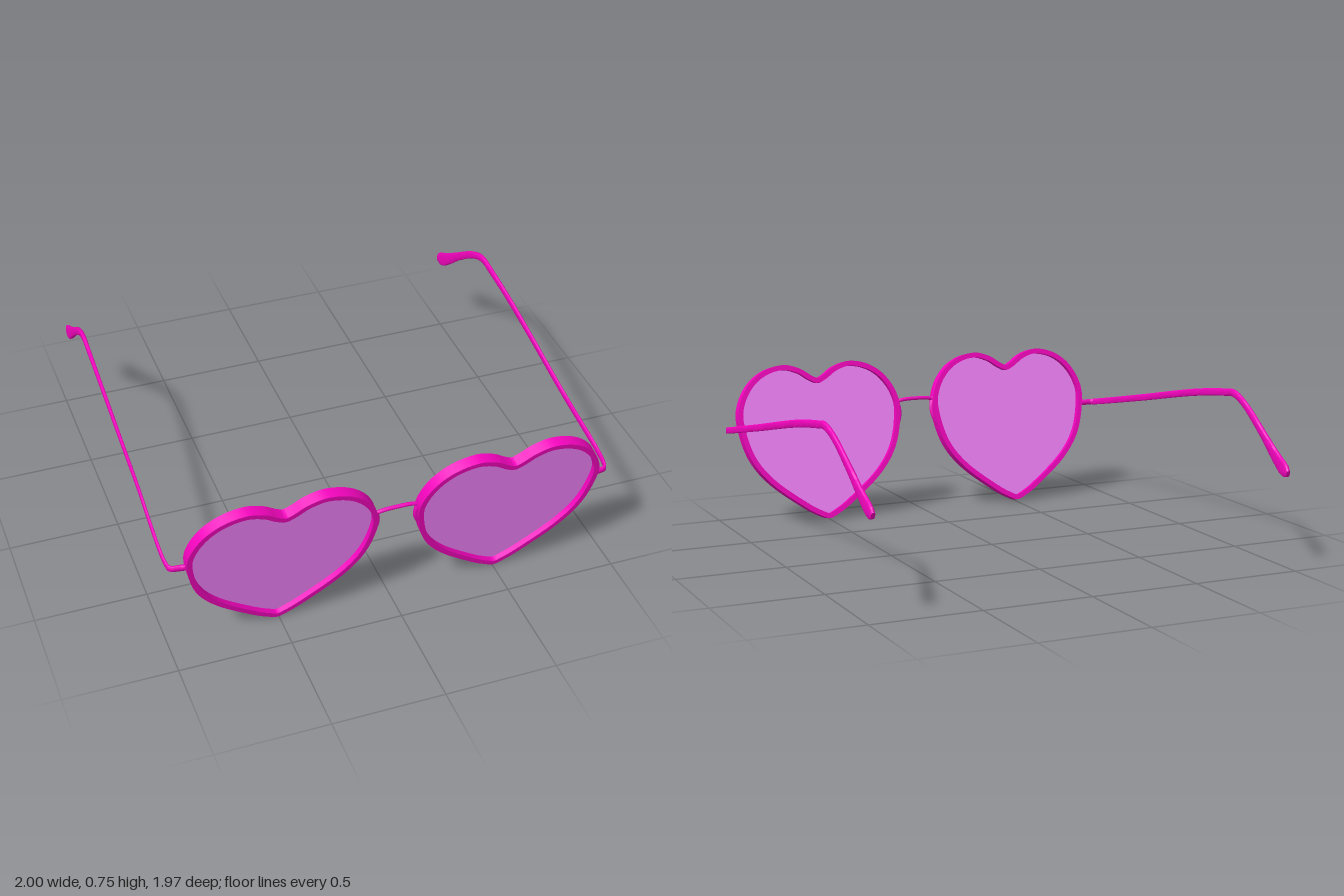
import * as THREE from 'three';
import { toCreasedNormals } from 'three/addons/utils/BufferGeometryUtils.js';

const TILT = 0.215, LENS_X = 0.507, BASE_Z = 0.8, DEPTH = 0.05;
const frameMat = new THREE.MeshStandardMaterial({ color: 0xf404be });
const lensMat = new THREE.MeshStandardMaterial({ color: 0xf383fc, side: THREE.DoubleSide });

// Right half of the heart, from bottom tip to top notch
const HALF = [[0, 0.007], [0.035, 0.02], [0.12, 0.07], [0.28, 0.195], [0.375, 0.325], [0.416, 0.49],
  [0.4, 0.59], [0.344, 0.676], [0.265, 0.73], [0.17, 0.75], [0.09, 0.729], [0.035, 0.694], [0, 0.676]];

// Closed heart outline, moved inwards by `inset`
function heart(inset) {
  const curve = new THREE.SplineCurve(HALF.map(([x, y]) => new THREE.Vector2(x, y / Math.cos(TILT))));
  const half = [];
  for (let i = 0; i <= 60; i++) {
    const p = curve.getPoint(i / 60), t = curve.getTangent(i / 60);
    p.x -= t.y * inset;
    p.y += t.x * inset;
    if (p.x > 0.002) half.push(p);
  }
  const mirrored = half.map(p => new THREE.Vector2(-p.x, p.y)).reverse();
  return [...half, ...mirrored];
}

// Sweep with a soft rectangular section; rows are [x, y, z, half width, half height]
function sweep(rows, steps, sides) {
  const path = new THREE.CatmullRomCurve3(rows.map(r => new THREE.Vector3(r[0], r[1], r[2])), false, 'centripetal');
  const pos = [], idx = [], Y = new THREE.Vector3(0, 1, 0);
  const soft = v => Math.sign(v) * Math.abs(v) ** 0.6;
  for (let i = 0; i <= steps; i++) {
    const u = i / steps, f = u * (rows.length - 1), k = Math.min(Math.floor(f), rows.length - 2);
    const w = THREE.MathUtils.lerp(rows[k][3], rows[k + 1][3], f - k);
    const h = THREE.MathUtils.lerp(rows[k][4], rows[k + 1][4], f - k);
    const c = path.getPoint(u), t = path.getTangent(u);
    const side = new THREE.Vector3().crossVectors(Y, t).normalize();
    const up = new THREE.Vector3().crossVectors(t, side);
    for (let j = 0; j < sides; j++) {
      const a = j / sides * Math.PI * 2;
      const p = c.clone().addScaledVector(side, soft(Math.cos(a)) * w).addScaledVector(up, soft(Math.sin(a)) * h);
      pos.push(p.x, p.y, p.z);
      if (i < steps) {
        const A = i * sides + j, B = i * sides + (j + 1) % sides;
        idx.push(A, B, A + sides, B, B + sides, A + sides);
      }
    }
  }
  // end caps
  const last = steps * sides;
  for (let j = 1; j < sides - 1; j++) idx.push(0, j + 1, j, last, last + j, last + j + 1);
  const g = new THREE.BufferGeometry();
  g.setAttribute('position', new THREE.Float32BufferAttribute(pos, 3));
  g.setIndex(idx);
  return toCreasedNormals(g, 0.8);
}

function add(parent, name, geometry, material) {
  const mesh = new THREE.Mesh(geometry, material);
  mesh.name = name;
  parent.add(mesh);
  return mesh;
}

export function createModel() {
  const model = new THREE.Group();
  model.name = 'heartGlasses';

  // Tilted front: rims, lenses and nose pads
  const front = new THREE.Group();
  front.name = 'front';
  front.position.z = BASE_Z;
  front.rotation.x = TILT;
  model.add(front);

  const rimShape = new THREE.Shape(heart(0));
  rimShape.holes.push(new THREE.Path(heart(0.024)));
  const rimGeo = toCreasedNormals(
    new THREE.ExtrudeGeometry(rimShape, { depth: DEPTH, bevelEnabled: false }).translate(0, 0, -DEPTH / 2), 0.6);
  const lensGeo = new THREE.ShapeGeometry(new THREE.Shape(heart(0.02)));

  for (const s of [1, -1]) {
    const side = s > 0 ? 'left' : 'right';
    add(front, side + 'Rim', rimGeo, frameMat).position.x = s * LENS_X;
    add(front, side + 'Lens', lensGeo, lensMat).position.x = s * LENS_X;

    // Crescent pad hugging the inner edge of the rim
    const pad = new THREE.CatmullRomCurve3([[0.1, 0.56], [0.089, 0.515], [0.094, 0.47], [0.118, 0.42]]
      .map(([x, y]) => new THREE.Vector3(s * x, y, 0)));
    add(front, side + 'NosePad', new THREE.TubeGeometry(pad, 16, 0.013, 8), frameMat);

    // Hinge, arm and swollen ear tip in one sweep
    add(model, side + 'Temple', sweep([
      [0.905, 0.465, 0.893, 0.01, 0.014], [0.95, 0.466, 0.889, 0.008, 0.014],
      [0.977, 0.467, 0.885, 0.007, 0.014], [0.988, 0.469, 0.87, 0.006, 0.015],
      [0.989, 0.56, 0.4, 0.006, 0.016], [0.988, 0.67, -0.15, 0.007, 0.017],
      [0.985, 0.708, -0.4, 0.008, 0.017], [0.983, 0.716, -0.49, 0.009, 0.017],
      [0.979, 0.68, -0.59, 0.009, 0.017], [0.973, 0.577, -0.75, 0.01, 0.02],
      [0.969, 0.505, -0.85, 0.01, 0.028], [0.966, 0.457, -0.925, 0.01, 0.034],
      [0.965, 0.443, -0.955, 0.01, 0.03], [0.964, 0.435, -0.975, 0.009, 0.015]
    ].map(([x, ...r]) => [s * x, ...r]), 104, 16), frameMat);
  }

  // Bridge wire
  const bridge = new THREE.CatmullRomCurve3([[-0.105, 0.53], [-0.085, 0.542], [-0.05, 0.548], [0, 0.549],
    [0.05, 0.548], [0.085, 0.542], [0.105, 0.53]].map(([x, y]) => new THREE.Vector3(x, y, 0.915)));
  add(model, 'bridge', new THREE.TubeGeometry(bridge, 32, 0.009, 10), frameMat);

  return model;
}
